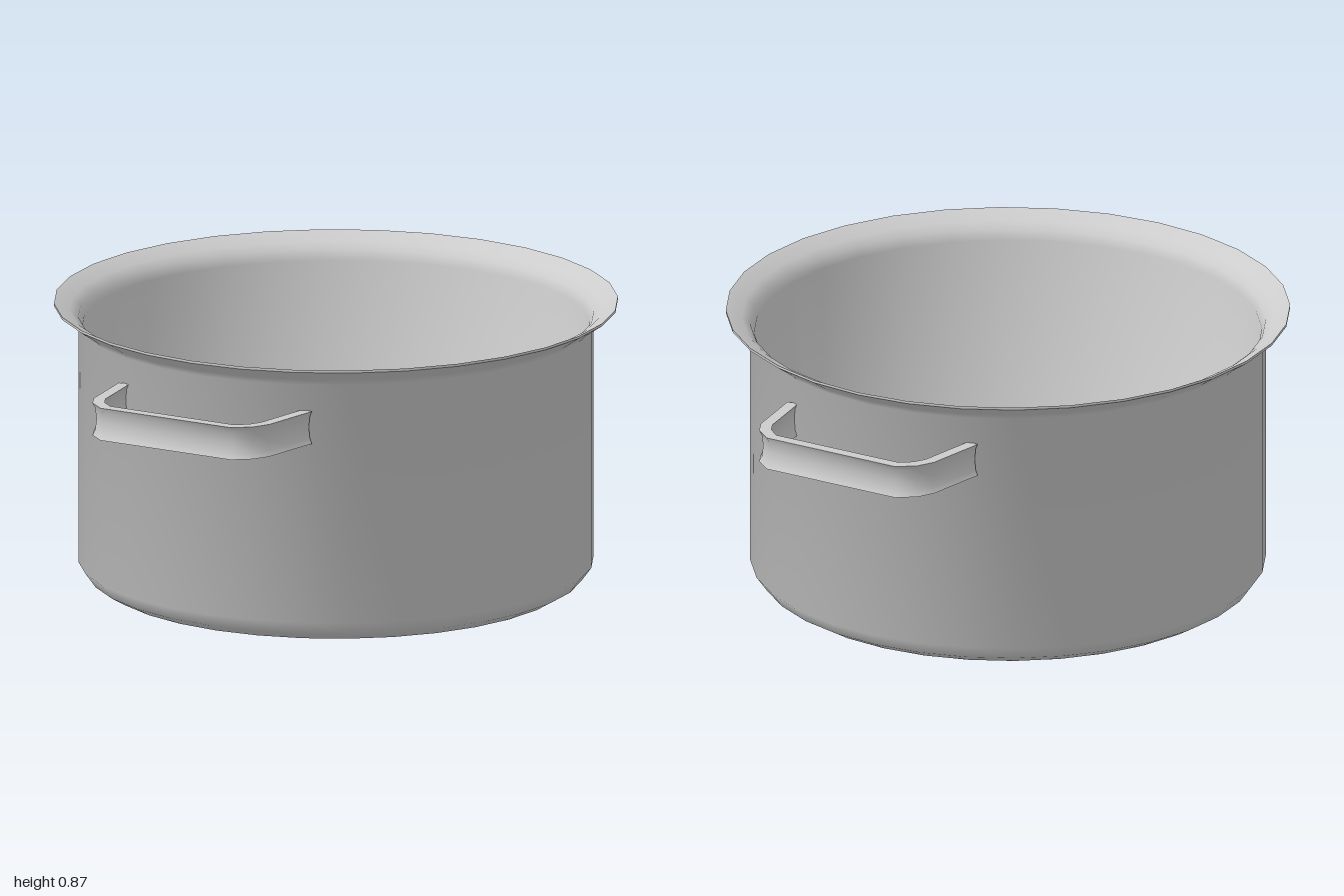
import * as THREE from 'three';
import { toCreasedNormals } from 'three/addons/utils/BufferGeometryUtils.js';

const metal = new THREE.MeshStandardMaterial({ color: 0xcccccc });
const SIDES = 32;

// Pot wall: up the outside, over the flared rim, down the inside
function potGeometry() {
  const profile = [
    [0, 0.004], [0.70, 0.004], [0.745, 0.03], [0.775, 0.072], [0.775, 0.81],
    [0.795, 0.83], [0.848, 0.866], [0.848, 0.874],
    [0.80, 0.85], [0.775, 0.83], [0.763, 0.80],
    [0.763, 0.076], [0.735, 0.04], [0.695, 0.016], [0, 0.016],
  ].map(([r, y]) => new THREE.Vector2(r, y));
  return toCreasedNormals(new THREE.LatheGeometry(profile, SIDES), 0.9);
}

// Handle: a bar with hollowed faces swept along a bracket-shaped path
function handleGeometry() {
  const half = [[0.32, 0.705], [0.305, 0.80], [0.29, 0.90], [0.267, 0.945], [0.222, 0.981]];
  const path = [...half, ...half.slice().reverse().map(([x, z]) => [-x, z])]
    .map(([x, z]) => new THREE.Vector2(x, z));

  // Cross-section as [depth, height], outer face upwards then inner face downwards
  const outer = [[0.018, -0.05], [0.010, -0.034], [0.006, 0], [0.010, 0.034], [0.018, 0.05]];
  const section = [...outer, ...outer.slice().reverse().map(([d, h]) => [-d, h])];
  const n = section.length;

  const positions = [];
  path.forEach((p, i) => {
    const before = p.clone().sub(path[Math.max(i - 1, 0)]).normalize();
    const after = path[Math.min(i + 1, path.length - 1)].clone().sub(p).normalize();
    const t = before.clone().add(after).normalize();
    const miter = 1 / Math.max(t.dot(i ? before : after), 0.5);
    for (const [d, h] of section) {
      positions.push(p.x + t.y * d * miter, 0.68 + h, p.y - t.x * d * miter);
    }
  });

  const index = [];
  const quad = (a, b, c, d) => index.push(a, b, c, a, c, d);
  for (let i = 0; i < path.length - 1; i++) {
    for (let j = 0; j < n; j++) {
      const k = (j + 1) % n;
      quad(i * n + j, i * n + k, (i + 1) * n + k, (i + 1) * n + j);
    }
  }
  // End caps
  const last = (path.length - 1) * n;
  for (let j = 0; j < n / 2 - 1; j++) {
    quad(n - 1 - j, n - 2 - j, j + 1, j);
    quad(last + j, last + j + 1, last + n - 2 - j, last + n - 1 - j);
  }

  const geometry = new THREE.BufferGeometry();
  geometry.setAttribute('position', new THREE.Float32BufferAttribute(positions, 3));
  geometry.setIndex(index);
  return toCreasedNormals(geometry, 0.8);
}

export function createModel() {
  const group = new THREE.Group();
  group.name = 'cookingPot';

  const pot = new THREE.Mesh(potGeometry(), metal);
  pot.name = 'potBody';
  group.add(pot);

  // One handle at the front, one at the back
  const handle = handleGeometry();
  ['frontHandle', 'backHandle'].forEach((name, i) => {
    const mesh = new THREE.Mesh(handle, metal);
    mesh.name = name;
    mesh.rotation.y = i * Math.PI;
    group.add(mesh);
  });
  return group;
}
